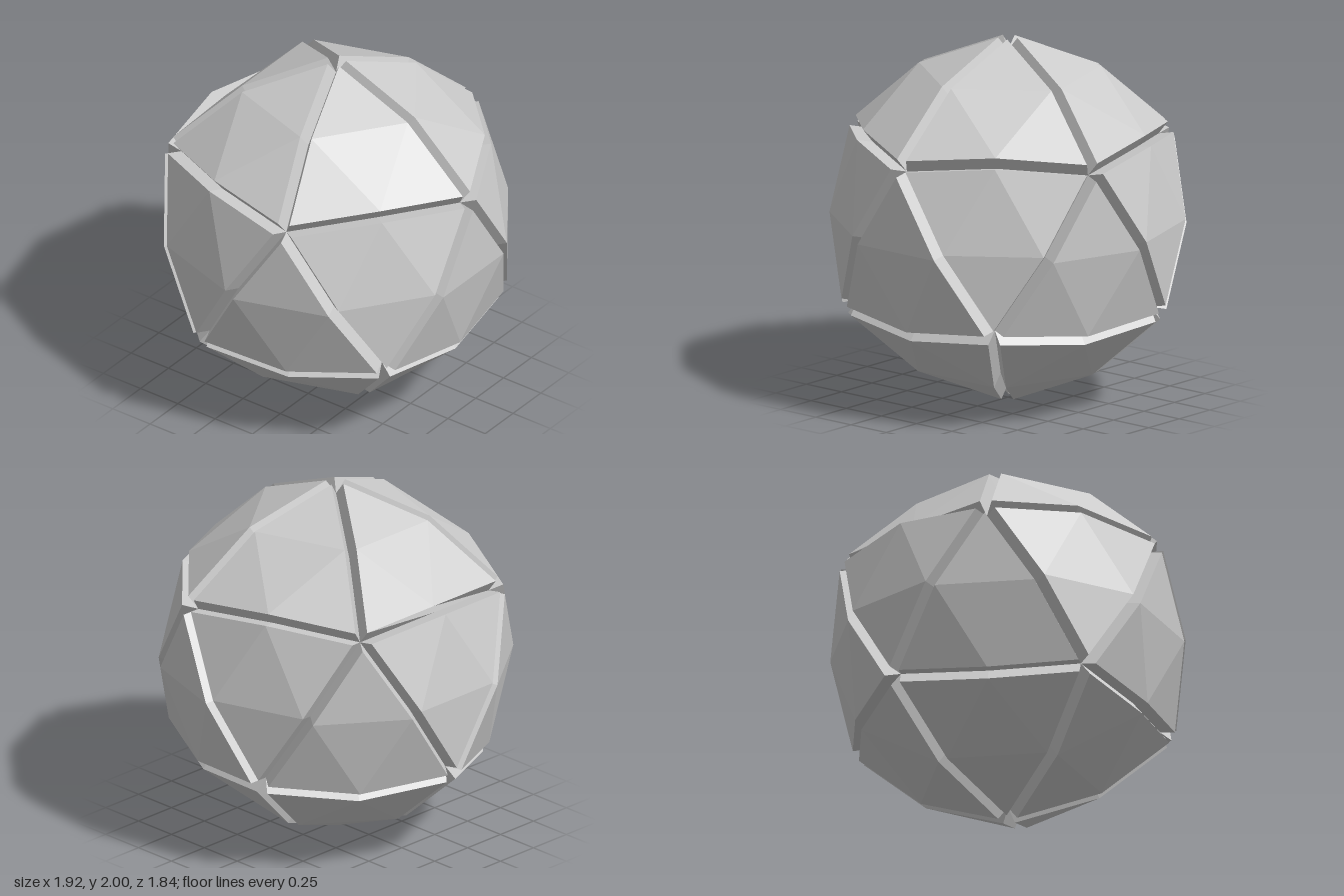
import * as THREE from 'three';

const R = 0.928;      // inner radius at the icosahedron corners
const R_MID = 0.876;  // inner radius at the edge midpoints
const DEPTH = 0.09;   // how far each panel stands out along its own normal

// Corner direction from height and azimuth (0 = front, towards +x)
function corner(y, degrees) {
  const a = THREE.MathUtils.degToRad(degrees);
  const r = Math.sqrt(1 - y * y);
  return new THREE.Vector3(r * Math.sin(a), y, r * Math.cos(a));
}

// A raised triangular panel: four facets outside, four inside, and six walls
function panel(name, a, b, c, flatLowerEdge = false) {
  const normal = a.clone().add(b).add(c).normalize();
  const mid = (p, q) => p.clone().add(q).setLength(R_MID);
  const at = (p) => p.clone().multiplyScalar(R);
  // Rim runs corner, midpoint, corner, midpoint...
  const inner = [at(a), mid(a, b), at(b), mid(b, c), at(c), mid(c, a)];
  const outer = inner.map((p) => p.clone().addScaledVector(normal, DEPTH));
  if (flatLowerEdge) outer[3].lerpVectors(outer[2], outer[4], 0.5).multiplyScalar(1.017);

  const points = [];
  for (const [i, j, k] of [[0, 1, 5], [1, 2, 3], [5, 3, 4], [1, 3, 5]]) {
    points.push(outer[i], outer[j], outer[k]);
    points.push(inner[i], inner[k], inner[j]);
  }
  for (let i = 0; i < 6; i++) {
    const j = (i + 1) % 6;
    points.push(outer[i], inner[i], inner[j], outer[i], inner[j], outer[j]);
  }
  const geometry = new THREE.BufferGeometry().setFromPoints(points);
  geometry.computeVertexNormals();
  const material = new THREE.MeshStandardMaterial({ color: 0xcccccc, flatShading: true });
  const mesh = new THREE.Mesh(geometry, material);
  mesh.name = name;
  return mesh;
}

export function createModel() {
  const group = new THREE.Group();
  group.name = 'panelledSphere';

  const h = 1 / Math.sqrt(5);
  const top = new THREE.Vector3(0, 1, 0);
  const bottom = new THREE.Vector3(0, -1, 0);
  const upper = (i) => corner(h, 72 * i);
  const lower = (i) => corner(-h, 72 * i + 36);

  for (let i = 0; i < 5; i++) {
    // The rear top panel has a nearly straight lower edge
    group.add(panel(`topPanel${i + 1}`, top, upper(i), upper(i + 1), i === 2));
    group.add(panel(`upperBeltPanel${i + 1}`, upper(i), lower(i), upper(i + 1)));
    group.add(panel(`lowerBeltPanel${i + 1}`, upper(i), lower(i - 1), lower(i)));
    group.add(panel(`bottomPanel${i + 1}`, lower(i), bottom, lower(i + 1)));
  }
  group.position.y = 1;
  return group;
}
